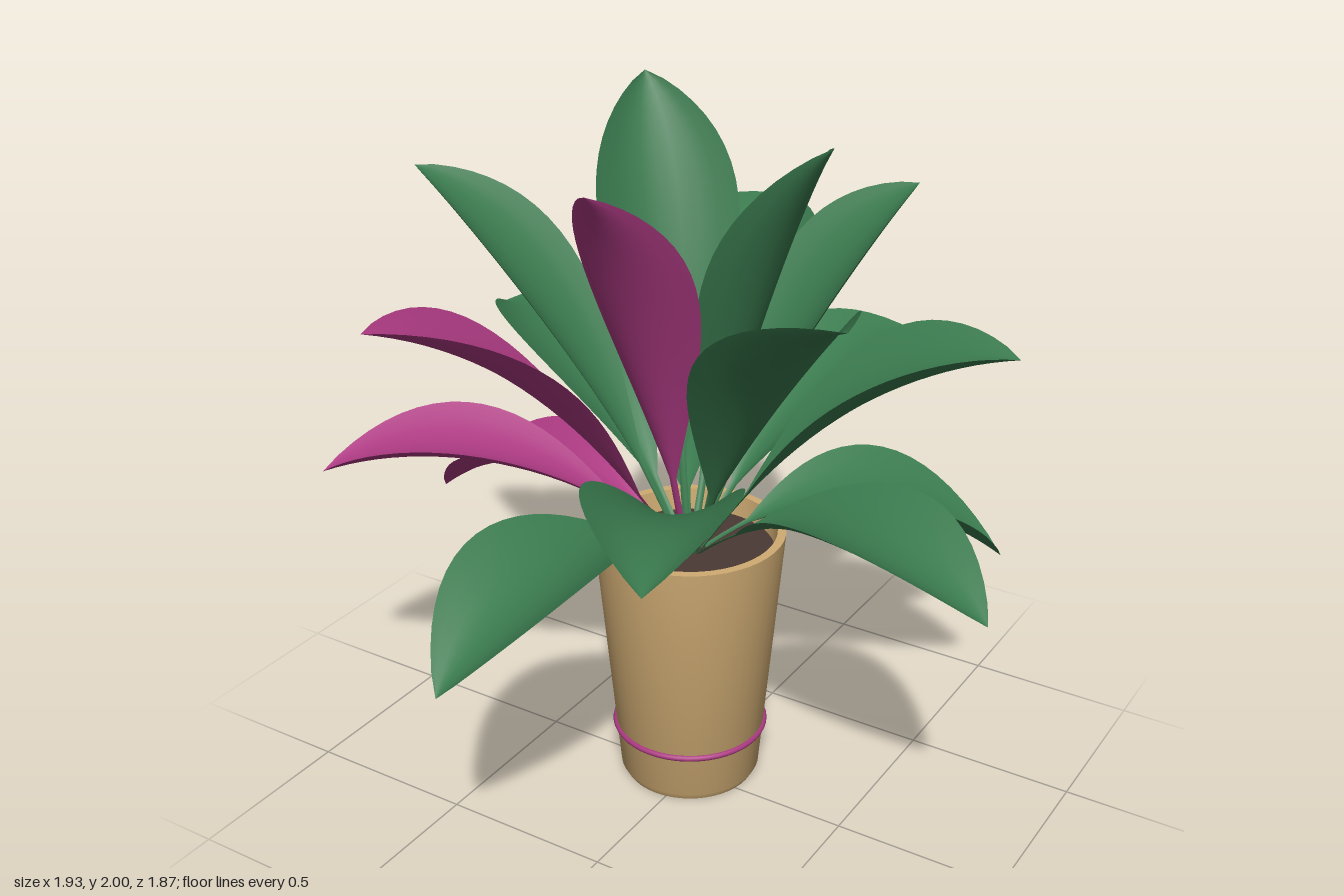
import * as THREE from 'three';
import { toCreasedNormals } from 'three/addons/utils/BufferGeometryUtils.js';

const paint = (name, color, side = THREE.FrontSide) => {
  const m = new THREE.MeshStandardMaterial({ color, side });
  m.name = name;
  return m;
};

// plant axis
const CX = -0.035, CZ = -0.05;

// Leaf: a cupped blade with a thin stalk, swept along an arching midrib
function leafGeometry(tipX, tipY, tipZ, halfWidth) {
  const out = new THREE.Vector3(tipX - CX, 0, tipZ - CZ);
  const reach = out.length();
  out.normalize();
  const side = new THREE.Vector3(out.z, 0, -out.x);
  const at = (r, y) => new THREE.Vector3(CX + out.x * r, y, CZ + out.z * r);
  const midrib = new THREE.QuadraticBezierCurve3(
    at(0.025, 0.72), at(reach * 0.5, 0.76 + 0.45 * tipY), at(reach, tipY));

  const rows = 24, cols = 8, pos = [], idx = [];
  for (let i = 0; i <= rows; i++) {
    const t = i / rows;
    const s = Math.max(0, (t - 0.14) / 0.86);
    const blade = Math.pow(Math.max(0, Math.sin(Math.PI * Math.pow(s, 1.2))), 0.88);
    const w = Math.max(halfWidth * blade, 0.011 * Math.min(1, (1 - t) * 8));
    const p = midrib.getPoint(t);
    const up = new THREE.Vector3().crossVectors(midrib.getTangent(t), side).normalize();
    for (let j = 0; j <= cols; j++) {
      const u = (j / cols) * 2 - 1;
      const v = p.clone().addScaledVector(side, u * w).addScaledVector(up, 0.42 * w * u * u);
      pos.push(v.x, v.y, v.z);
    }
  }
  for (let i = 0; i < rows; i++) {
    for (let j = 0; j < cols; j++) {
      const a = i * (cols + 1) + j, b = a + cols + 1;
      idx.push(a, b, a + 1, b, b + 1, a + 1);
    }
  }
  const g = new THREE.BufferGeometry();
  g.setAttribute('position', new THREE.Float32BufferAttribute(pos, 3));
  g.setIndex(idx);
  g.computeVertexNormals();
  return g;
}

export function createModel() {
  const model = new THREE.Group();
  model.name = 'pottedPlant';
  const clay = paint('tan clay', 0xcfab73);
  const soilMat = paint('dark soil', 0x4a3934);
  const green = paint('leaf green', 0x3a7a4e, THREE.DoubleSide);
  const magenta = paint('leaf magenta', 0xac3a82, THREE.DoubleSide);

  const add = (parent, name, geometry, material) => {
    const m = new THREE.Mesh(geometry, material);
    m.name = name;
    parent.add(m);
    return m;
  };

  // Pot: tapered wall, bevelled foot, rim and hollow inside
  const pot = new THREE.Group();
  pot.name = 'pot';
  pot.position.set(CX, 0, CZ);
  model.add(pot);
  const profile = [[0, 0], [0.195, 0], [0.207, 0.022], [0.275, 0.8], [0.25, 0.8], [0.243, 0.72]]
    .map(([r, y]) => new THREE.Vector2(r, y));
  add(pot, 'potBody', toCreasedNormals(new THREE.LatheGeometry(profile, 48), 0.5), clay);

  const soil = add(pot, 'soil', new THREE.CircleGeometry(0.246, 48), soilMat);
  soil.rotation.x = -Math.PI / 2;
  soil.position.y = 0.735;

  const band = add(pot, 'potBand', new THREE.TorusGeometry(0.221, 0.009, 8, 48), magenta);
  band.rotation.x = Math.PI / 2;
  band.position.y = 0.162;

  // Leaves: tip x, y, z and half width
  const greenLeaves = [
    [-0.38, 2.0, -0.37, 0.2], [0.38, 1.97, -0.05, 0.213], [0.37, 1.74, -0.59, 0.175],
    [-0.85, 1.77, 0.08, 0.17], [0.65, 1.69, 0.38, 0.2], [-0.28, 1.51, -0.94, 0.228],
    [0.79, 1.39, -0.36, 0.2], [-0.96, 1.18, -0.44, 0.19], [0.4, 1.16, 0.86, 0.2],
    [0.24, 1.15, -0.94, 0.19], [0.96, 0.9, 0.16, 0.19], [-0.65, 0.77, -0.92, 0.185],
    [-0.17, 0.73, 0.93, 0.2], [0.67, 0.63, -0.66, 0.2],
  ];
  const magentaLeaves = [
    [0.01, 1.93, 0.49, 0.16], [-0.47, 1.58, 0.76, 0.18],
    [-0.94, 0.96, 0.46, 0.17], [-0.97, 0.67, -0.1, 0.17],
  ];
  const foliage = new THREE.Group();
  foliage.name = 'foliage';
  model.add(foliage);
  greenLeaves.forEach((l, i) => add(foliage, `greenLeaf${i + 1}`, leafGeometry(...l), green));
  magentaLeaves.forEach((l, i) => add(foliage, `magentaLeaf${i + 1}`, leafGeometry(...l), magenta));

  return model;
}
